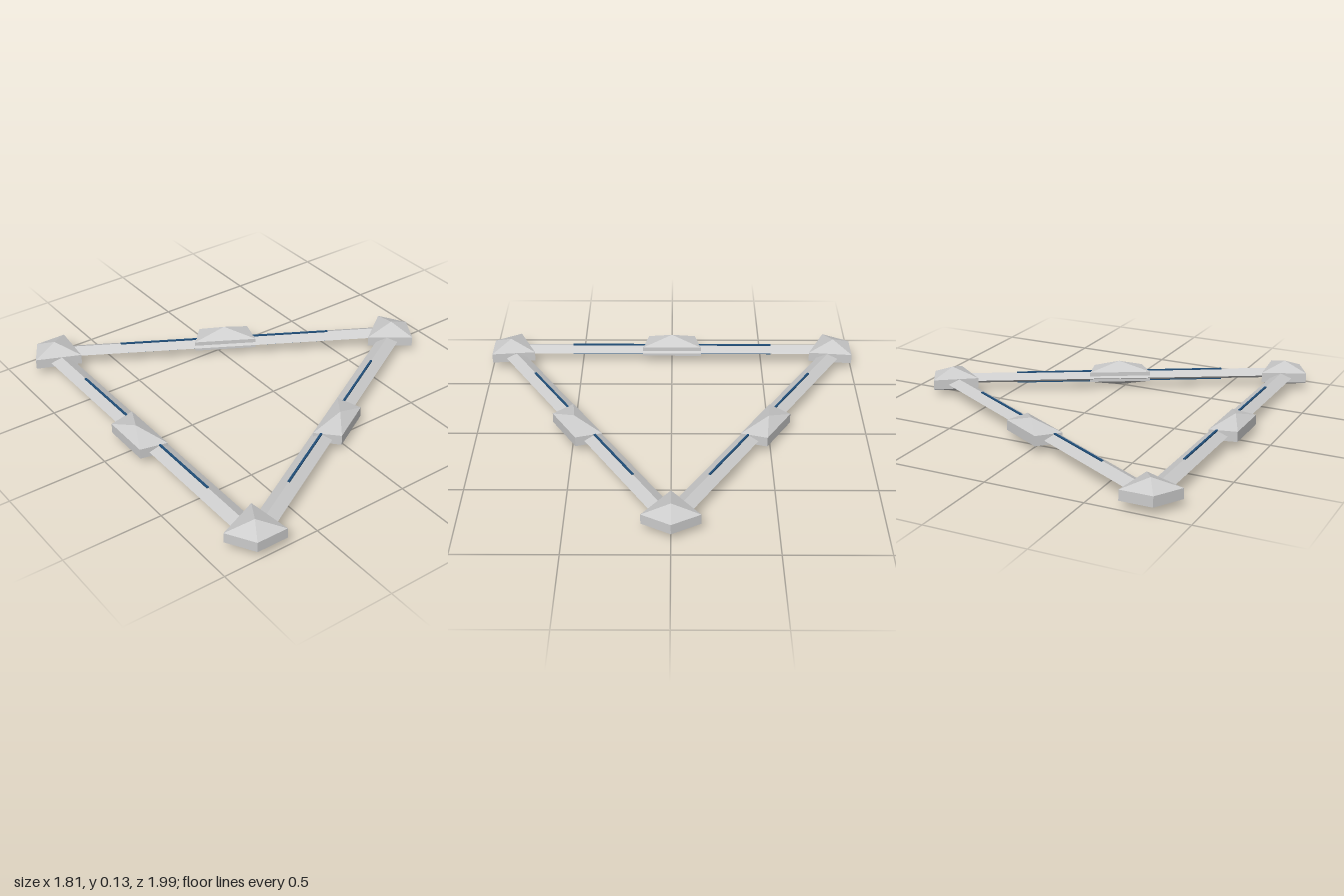
import * as THREE from 'three';
import { ConvexGeometry } from 'three/addons/geometries/ConvexGeometry.js';

const MID = 0.067; // height of the frame's middle plane
const grey = new THREE.MeshStandardMaterial({ color: 0xcccccc, flatShading: true });
const blue = new THREE.MeshStandardMaterial({ color: 0x1f4e79 });

// Faceted block: a straight-walled outline [x, z] with a point above and below
function facetedBlock(outline, apexX) {
  const points = [];
  for (const s of [1, -1]) {
    for (const [x, z] of outline) points.push(new THREE.Vector3(x, s * 0.026, z));
    points.push(new THREE.Vector3(apexX, s * 0.067, 0));
  }
  return new ConvexGeometry(points);
}

function addMesh(parent, name, geometry, material) {
  const mesh = new THREE.Mesh(geometry, material);
  mesh.name = name;
  parent.add(mesh);
  return mesh;
}

export function createModel() {
  const model = new THREE.Group();
  model.name = 'triangleFrame';

  // Kite-shaped corner, pointing outward along x
  const corner = facetedBlock([[0.88, 0], [1.07, 0.14], [1.15, 0], [1.07, -0.14]], 1.04);
  // Trapezoid clasp at the middle of each side, longer on the inside
  const clasp = facetedBlock([[0.495, 0.162], [0.63, 0.13], [0.63, -0.13], [0.495, -0.162]], 0.57);
  // Diamond-section bar running along z
  const bar = new THREE.CylinderGeometry(1, 1, 1, 4).rotateX(Math.PI / 2).scale(0.053, 0.027, 1.74);
  const strip = new THREE.BoxGeometry(0.011, 0.008, 1.11);

  for (let i = 0; i < 3; i++) {
    const cornerGroup = new THREE.Group();
    cornerGroup.name = 'corner' + (i + 1);
    cornerGroup.position.set(-0.248, MID, 0);
    cornerGroup.rotation.y = (i * 2 * Math.PI) / 3;
    addMesh(cornerGroup, 'cornerBlock', corner, grey);

    const side = new THREE.Group();
    side.name = 'side' + (i + 1);
    side.position.copy(cornerGroup.position);
    side.rotation.y = cornerGroup.rotation.y + Math.PI / 3;
    addMesh(side, 'bar', bar, grey).position.set(0.532, -0.003, 0);
    addMesh(side, 'clasp', clasp, grey);

    // Thin inlays along the upper and lower ridges
    for (const s of [1, -1]) {
      addMesh(side, s > 0 ? 'upperInlay' : 'lowerInlay', strip, blue).position.set(0.532, -0.003 + s * 0.026, 0);
    }
    model.add(cornerGroup, side);
  }
  return model;
}
